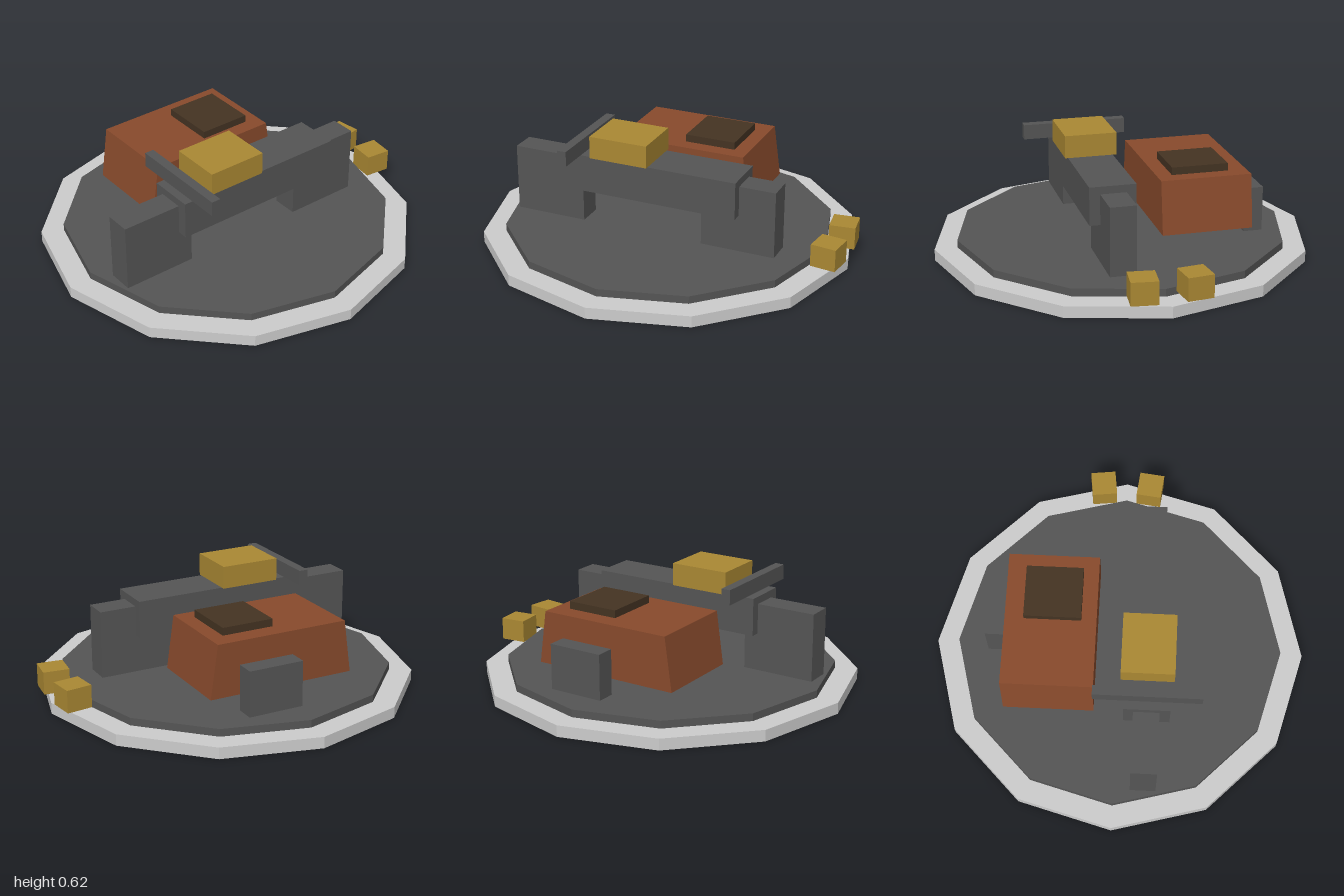
import * as THREE from 'three';

const mat = (name, color) => {
  const m = new THREE.MeshStandardMaterial({ color });
  m.name = name;
  return m;
};

export function createModel() {
  const lightGrey = mat('light grey', 0xcccccc);
  const darkGrey = mat('dark grey', 0x555555);
  const gold = mat('gold', 0xaa8833);
  const rust = mat('rust brown', 0x884a2c);
  const darkBrown = mat('dark brown', 0x443322);

  const group = new THREE.Group();
  const add = (name, geometry, material) => {
    const mesh = new THREE.Mesh(geometry, material);
    mesh.name = name;
    group.add(mesh);
    return mesh;
  };
  // Box given by its extents along each axis
  const box = (name, material, [x0, x1], [y0, y1], [z0, z1]) => {
    const mesh = add(name, new THREE.BoxGeometry(x1 - x0, y1 - y0, z1 - z0), material);
    mesh.position.set((x0 + x1) / 2, (y0 + y1) / 2, (z0 + z1) / 2);
    return mesh;
  };
  // Twelve-sided faceted disc
  const disc = (name, material, radius, y0, y1) => {
    const geometry = new THREE.CylinderGeometry(radius, radius, y1 - y0, 12).toNonIndexed();
    geometry.computeVertexNormals();
    add(name, geometry, material).position.set(0, (y0 + y1) / 2, 0.003);
  };

  // Base plate and raised deck
  disc('baseRim', lightGrey, 0.995, 0, 0.06);
  disc('deck', darkGrey, 0.875, 0.06, 0.1);

  // Long beam on two posts
  box('frontPost', darkGrey, [0.09, 0.225], [0.1, 0.46], [0.405, 0.8]);
  box('rearPost', darkGrey, [0.09, 0.225], [0.1, 0.46], [-0.67, -0.27]);
  box('beam', darkGrey, [0.04, 0.28], [0.3, 0.5], [-0.475, 0.48]);
  box('crossbar', darkGrey, [-0.12, 0.44], [0.5, 0.58], [0.385, 0.435]);
  box('beamBlock', gold, [0.02, 0.295], [0.5, 0.62], [0.005, 0.325]);

  // Cabin, narrower at the top front and back
  const cabin = box('cabin', rust, [-0.6, -0.12], [0.18, 0.46], [-0.4, 0.4]);
  const pos = cabin.geometry.attributes.position;
  for (let i = 0; i < pos.count; i++) {
    if (pos.getY(i) > 0) pos.setZ(i, pos.getZ(i) * 0.9);
  }
  cabin.geometry = cabin.geometry.toNonIndexed();
  cabin.geometry.computeVertexNormals();
  box('cabinHatch', darkBrown, [-0.5, -0.2], [0.46, 0.5], [-0.28, 0]);
  box('sideBlock', darkGrey, [-0.71, -0.61], [0.1, 0.34], [-0.245, 0.052]);

  // Pair of small blocks on the rear rim, turned to follow it
  for (const side of [-1, 1]) {
    const block = add(side < 0 ? 'rearBlockRight' : 'rearBlockLeft',
      new THREE.BoxGeometry(0.136, 0.12, 0.136), gold);
    block.position.set(side * 0.13, 0.14, -0.925);
    block.rotation.y = -side * 0.12;
  }
  return group;
}
